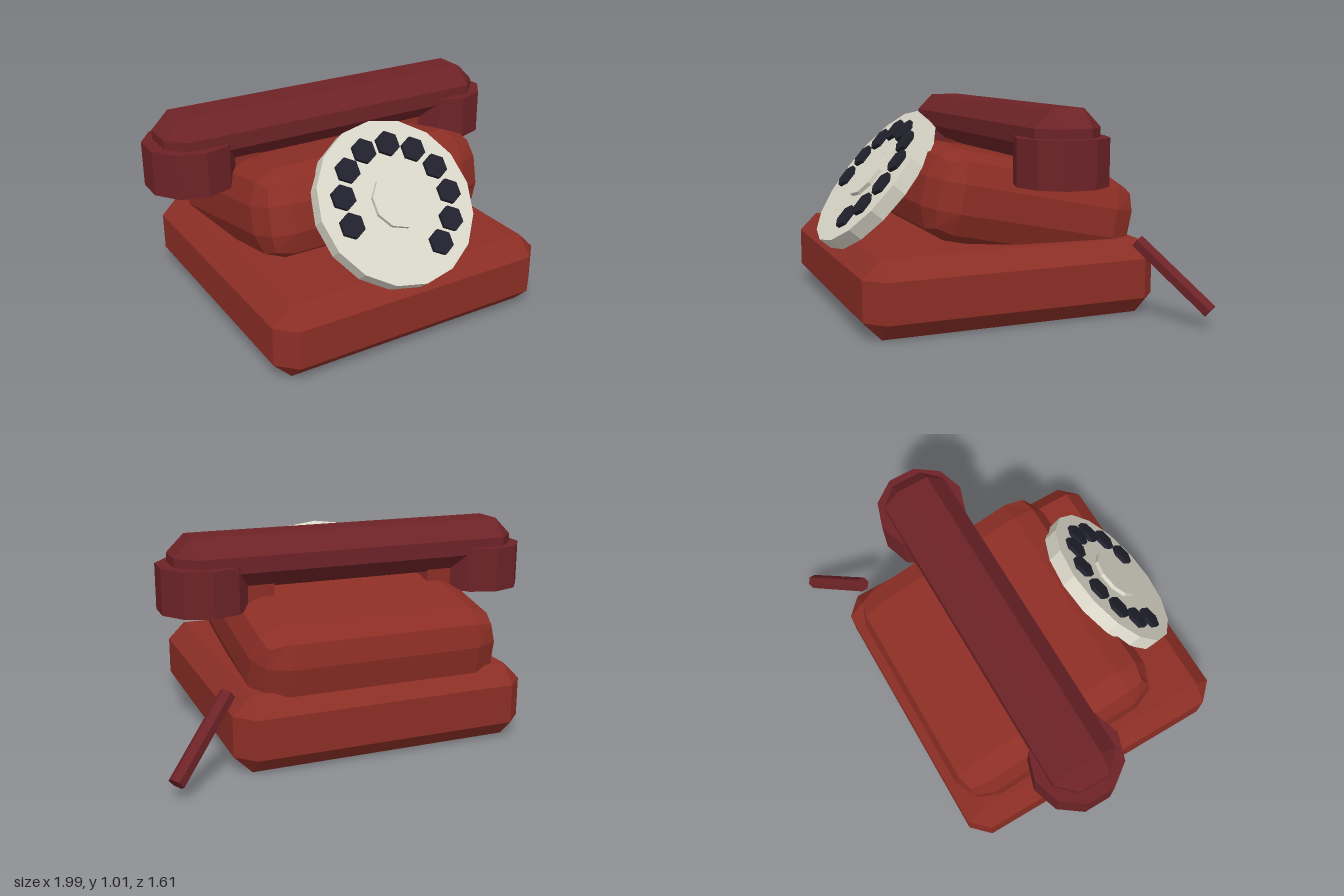
import * as THREE from 'three';
import { ConvexGeometry } from 'three/addons/geometries/ConvexGeometry.js';
import { RoundedBoxGeometry } from 'three/addons/geometries/RoundedBoxGeometry.js';

const material = (name, color) => Object.assign(new THREE.MeshStandardMaterial({ color }), { name });

// Split corners so every facet gets its own flat normal
function faceted(geometry) {
  const flat = geometry.index ? geometry.toNonIndexed() : geometry;
  flat.computeVertexNormals();
  return flat;
}

const prism = (radius, height, sides) =>
  faceted(new THREE.CylinderGeometry(radius, radius, height, sides));

// Box with one straight chamfer on every edge
function chamferBox(w, h, d, c) {
  const points = [];
  for (const sx of [-1, 1]) for (const sy of [-1, 1]) for (const sz of [-1, 1]) {
    for (let axis = 0; axis < 3; axis++) {
      const half = [w / 2, h / 2, d / 2].map((v, i) => (i === axis ? v : v - c));
      points.push(new THREE.Vector3(sx * half[0], sy * half[1], sz * half[2]));
    }
  }
  return new ConvexGeometry(points);
}

export function createModel() {
  const model = new THREE.Group();
  model.name = 'rotaryTelephone';

  const bodyRed = material('bodyRed', 0x8c2e25);
  const handsetRed = material('handsetRed', 0x6d2327);
  const cream = material('dialCream', 0xdad7c9);
  const dark = material('fingerHoleDark', 0x20212c);

  const add = (parent, name, geometry, mat, x, y, z) => {
    const mesh = new THREE.Mesh(geometry, mat);
    mesh.name = name;
    mesh.position.set(x, y, z);
    parent.add(mesh);
    return mesh;
  };

  const midX = -0.06;   // centre line of the telephone
  const barZ = -0.145;  // depth of the handset

  // Base and tilted housing
  add(model, 'base', chamferBox(1.46, 0.365, 1.46, 0.087), bodyRed, midX, 0.1825, 0.037);
  const housing = add(model, 'housing', faceted(new RoundedBoxGeometry(1.24, 0.43, 1.092, 1, 0.146)),
    bodyRed, midX, 0.519, -0.108);
  housing.rotation.x = -0.206;

  // Handset: bar, two ten-sided ends, and the cradle posts below
  const handset = new THREE.Group();
  handset.name = 'handset';
  handset.position.set(midX, 0, barZ);
  model.add(handset);
  add(handset, 'handsetBar', chamferBox(1.76, 0.25, 0.33, 0.086), handsetRed, 0, 0.885, 0);
  for (const [side, s] of [['left', 1], ['right', -1]]) {
    add(handset, side + 'HandsetEnd', prism(0.22, 0.22, 10), handsetRed, s * 0.73, 0.77, 0);
    add(model, side + 'CradlePost', new THREE.BoxGeometry(0.13, 0.14, 0.18), bodyRed,
      midX + s * 0.47, 0.74, barZ);
  }

  // Dial, leaning back; its local y axis points out of the face
  const dial = new THREE.Group();
  dial.name = 'dial';
  dial.position.set(midX, 0.629, 0.517);
  dial.rotation.x = 0.878;
  model.add(dial);
  add(dial, 'dialPlate', prism(0.403, 0.076, 16), cream, 0, 0, 0);
  add(dial, 'dialCap', prism(0.135, 0.03, 10), cream, 0, 0.043, 0);
  const hole = prism(0.062, 0.03, 6);
  for (let i = 0; i < 10; i++) {
    const a = THREE.MathUtils.degToRad(192 - 28 * i);
    add(dial, 'fingerHole', hole, dark, 0.278 * Math.cos(a), 0.043, -0.278 * Math.sin(a));
  }

  // Loose six-sided rod beside the base
  const top = new THREE.Vector3(0.675, 0.37, -0.555);
  const bottom = new THREE.Vector3(0.965, 0.08, -0.77);
  const axis = top.clone().sub(bottom);
  const mid = top.clone().add(bottom).multiplyScalar(0.5);
  const rod = add(model, 'sideRod', prism(0.038, axis.length(), 6), handsetRed, mid.x, mid.y, mid.z);
  rod.quaternion.setFromUnitVectors(new THREE.Vector3(0, 1, 0), axis.normalize());

  return model;
}
